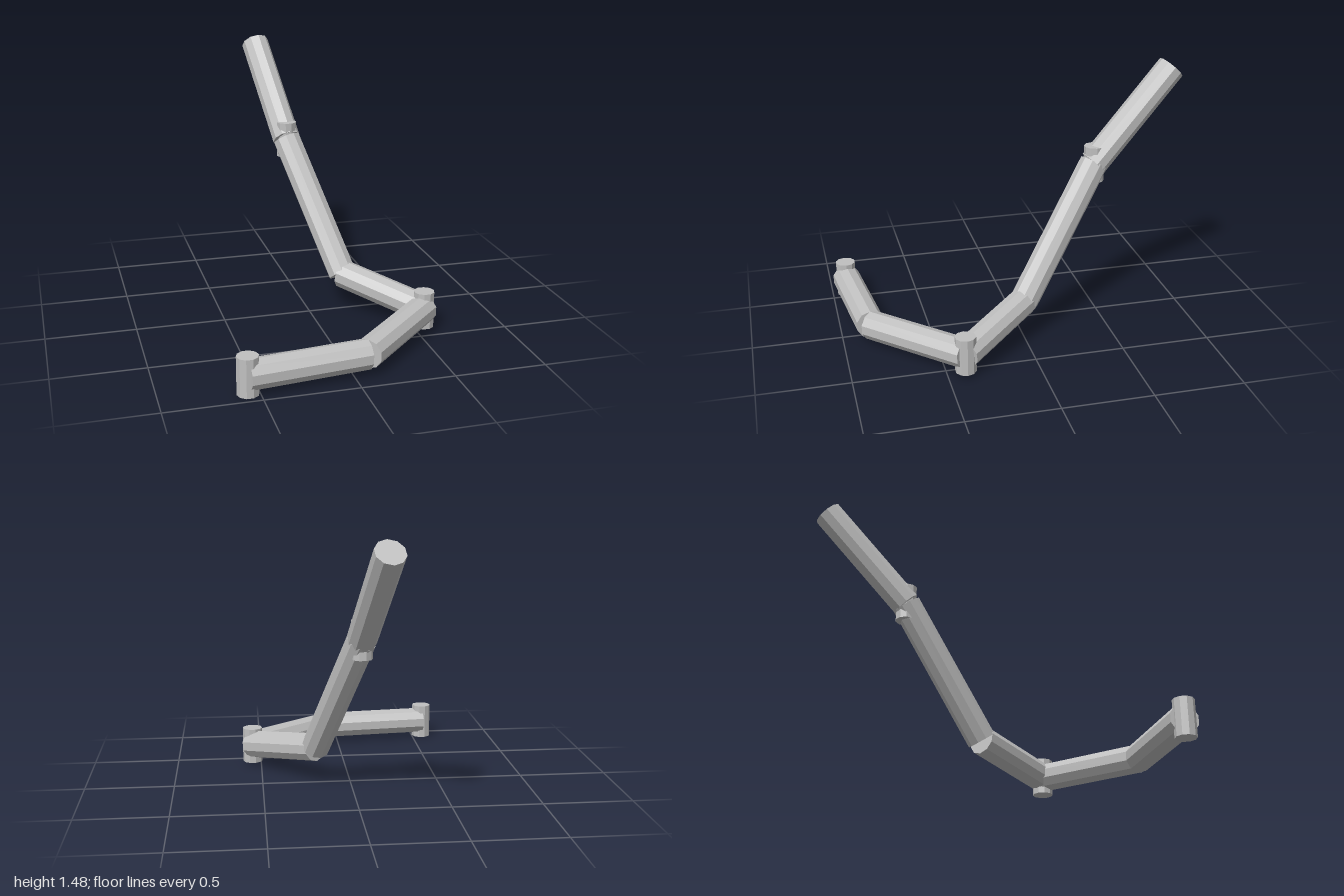
import * as THREE from 'three';

export function createModel() {
  const model = new THREE.Group();
  const metal = new THREE.MeshStandardMaterial({ color: 0xc0c0c0, flatShading: true });
  metal.name = 'light grey metal';

  // Centre line of the arm, from the base tip to the free end
  const points = [
    [-0.56, 0.105, 0.915],
    [0.08, 0.106, 0.845],
    [0.55, 0.122, 0.4],
    [0.2, 0.212, -0.01],
    [-0.015, 0.92, -0.47],
    [-0.097, 1.425, -0.94],
  ].map((p) => new THREE.Vector3(...p));

  // Ten-sided tubes, each with one edge along its top
  const names = ['baseLink', 'foreLink', 'shortLink', 'longLink', 'endLink'];
  names.forEach((name, i) => {
    const a = points[i], b = points[i + 1];
    const geometry = new THREE.CylinderGeometry(0.081, 0.081, a.distanceTo(b), 10);
    geometry.rotateX(Math.PI / 2);
    const link = new THREE.Mesh(geometry, metal);
    link.name = name;
    link.position.lerpVectors(a, b, 0.5);
    link.lookAt(b);
    model.add(link);
  });

  // Upright pivot pins at every other bend
  const pinGeometry = new THREE.CylinderGeometry(0.058, 0.058, 0.206, 10);
  pinGeometry.rotateY(Math.PI / 2);
  [['basePin', 0], ['middlePin', 2], ['upperPin', 4]].forEach(([name, i]) => {
    const pin = new THREE.Mesh(pinGeometry, metal);
    pin.name = name;
    pin.position.copy(points[i]);
    model.add(pin);
  });

  return model;
}
